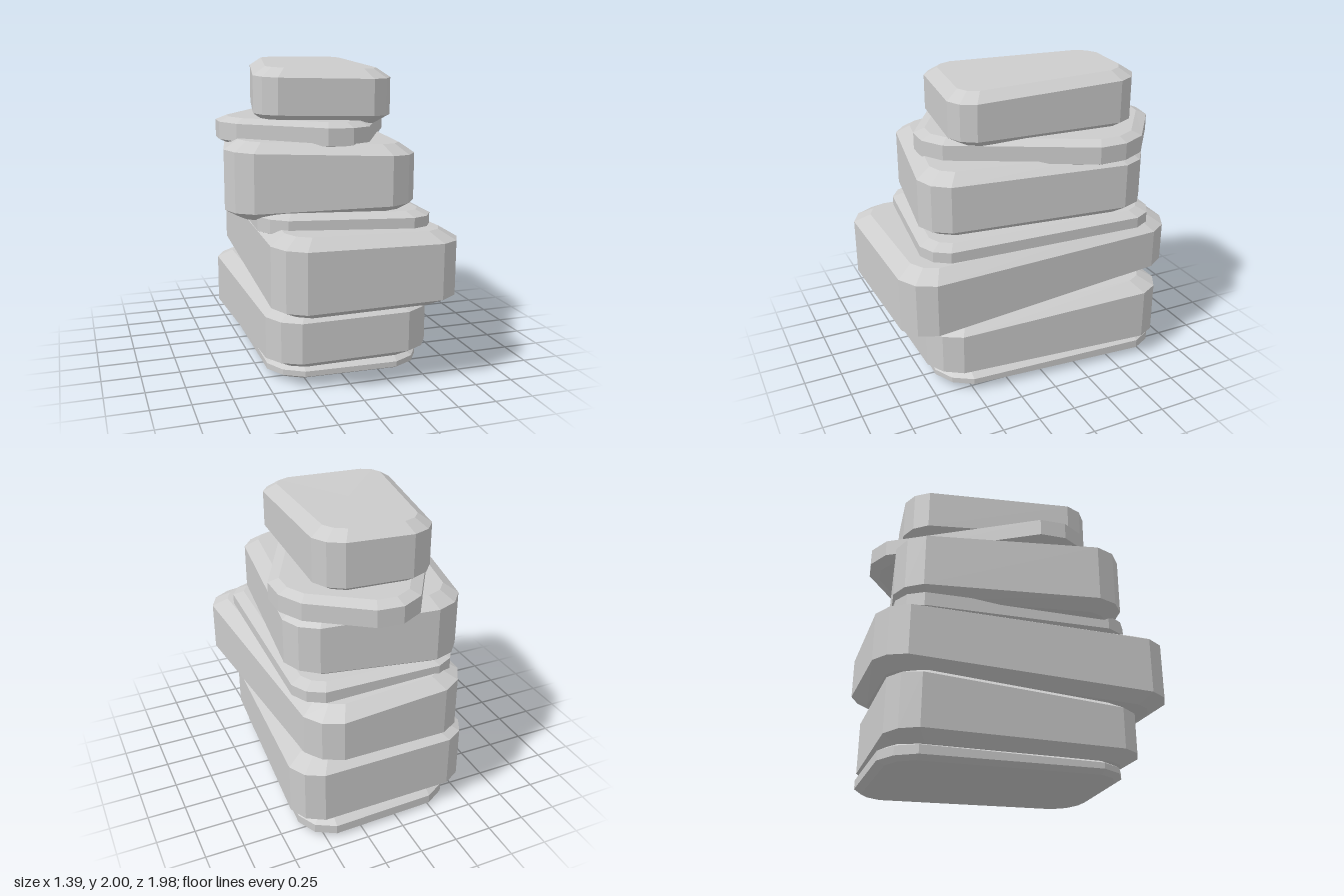
import * as THREE from 'three';

const material = new THREE.MeshStandardMaterial({ color: 0xcccccc, flatShading: true });

// Each stone: four corners [x, z, bottomY, topY] in order front-left, front-right,
// back-right, back-left, then corner cut, bevel height and bevel inset.
const STONES = [
  { name: 'baseSlab', cut: 0.2, bevel: 0.025, inset: 0.05,
    corners: [[-0.47, 0.67, 0.025, 0.11], [0.54, 0.7, 0.025, 0.11], [0.63, -0.92, 0, 0.11], [-0.45, -0.89, 0, 0.11]] },
  { name: 'lowerStone', cut: 0.18, bevel: 0.06, inset: 0.1,
    corners: [[-0.5, 0.78, 0.12, 0.5], [0.57, 0.76, 0.12, 0.5], [0.68, -0.9, 0.09, 0.56], [-0.56, -0.89, 0.09, 0.56]] },
  { name: 'wideStone', cut: 0.18, bevel: 0.06, inset: 0.1,
    corners: [[-0.53, 0.995, 0.51, 1.01], [0.7, 0.96, 0.51, 0.98], [0.59, -0.99, 0.6, 0.97], [-0.46, -0.965, 0.58, 1.03]] },
  { name: 'thinMiddleSlab', cut: 0.16, bevel: 0.03, inset: 0.07,
    corners: [[-0.54, 0.68, 0.95, 1.1], [0.56, 0.8, 0.95, 1.08], [0.62, -0.82, 0.95, 1.08], [-0.45, -0.86, 0.95, 1.1]] },
  { name: 'upperStone', cut: 0.18, bevel: 0.06, inset: 0.09,
    corners: [[-0.74, 0.56, 1.03, 1.53], [0.45, 0.77, 1.07, 1.49], [0.64, -0.73, 1.09, 1.5], [-0.44, -0.89, 1.06, 1.53]] },
  { name: 'thinTwistedSlab', cut: 0.23, bevel: 0.03, inset: 0.07,
    corners: [[-0.8, 0.19, 1.48, 1.65], [0.09, 0.74, 1.46, 1.63], [0.73, -0.55, 1.45, 1.62], [0.02, -1.1, 1.47, 1.64]] },
  { name: 'topStone', cut: 0.15, bevel: 0.055, inset: 0.08,
    corners: [[-0.52, 0.42, 1.62, 1.96], [0.38, 0.53, 1.6, 1.94], [0.45, -0.74, 1.61, 2.0], [-0.26, -0.81, 1.62, 2.0]] },
];

// Turns four corners into a 12-point outline with softened corner cuts
function outline(quad, inset, cut) {
  const toward = (i, j, d) => quad[j].clone().sub(quad[i]).normalize().multiplyScalar(d);
  const moved = quad.map((p, i) => p.clone()
    .add(toward(i, (i + 1) % 4, inset)).add(toward(i, (i + 3) % 4, inset)));
  const points = [];
  moved.forEach((c, i) => {
    const a = c.clone().add(toward(i, (i + 3) % 4, cut));
    const b = c.clone().add(toward(i, (i + 1) % 4, cut));
    const mid = a.clone().add(b).multiplyScalar(0.36).addScaledVector(c, 0.28);
    points.push(a, mid, b);
  });
  return points;
}

function stoneGeometry({ corners, cut, bevel, inset }) {
  const level = (k, dy) => corners.map((c) => new THREE.Vector3(c[0], c[k] + dy, c[1]));
  // Rings from bottom face to top face
  const rings = [
    outline(level(2, 0), inset, cut * 0.75),
    outline(level(2, bevel), 0, cut),
    outline(level(3, -bevel), 0, cut),
    outline(level(3, 0), inset, cut * 0.75),
  ];
  const n = rings[0].length;
  const vertices = [];
  const triangle = (...pts) => pts.forEach((p) => vertices.push(p.x, p.y, p.z));
  for (let r = 0; r < rings.length - 1; r++) {
    for (let i = 0; i < n; i++) {
      const j = (i + 1) % n;
      const [a, b, c, d] = [rings[r][i], rings[r][j], rings[r + 1][j], rings[r + 1][i]];
      triangle(a, b, c);
      triangle(a, c, d);
    }
  }
  // Bottom and top caps
  const centre = (ring) => ring.reduce((s, p) => s.add(p), new THREE.Vector3()).divideScalar(n);
  const bottom = centre(rings[0]);
  const top = centre(rings[3]);
  for (let i = 0; i < n; i++) {
    const j = (i + 1) % n;
    triangle(bottom, rings[0][j], rings[0][i]);
    triangle(top, rings[3][i], rings[3][j]);
  }
  const geometry = new THREE.BufferGeometry();
  geometry.setAttribute('position', new THREE.Float32BufferAttribute(vertices, 3));
  geometry.computeVertexNormals();
  return geometry;
}

export function createModel() {
  const group = new THREE.Group();
  group.name = 'stoneStack';
  for (const stone of STONES) {
    const mesh = new THREE.Mesh(stoneGeometry(stone), material);
    mesh.name = stone.name;
    group.add(mesh);
  }
  return group;
}
